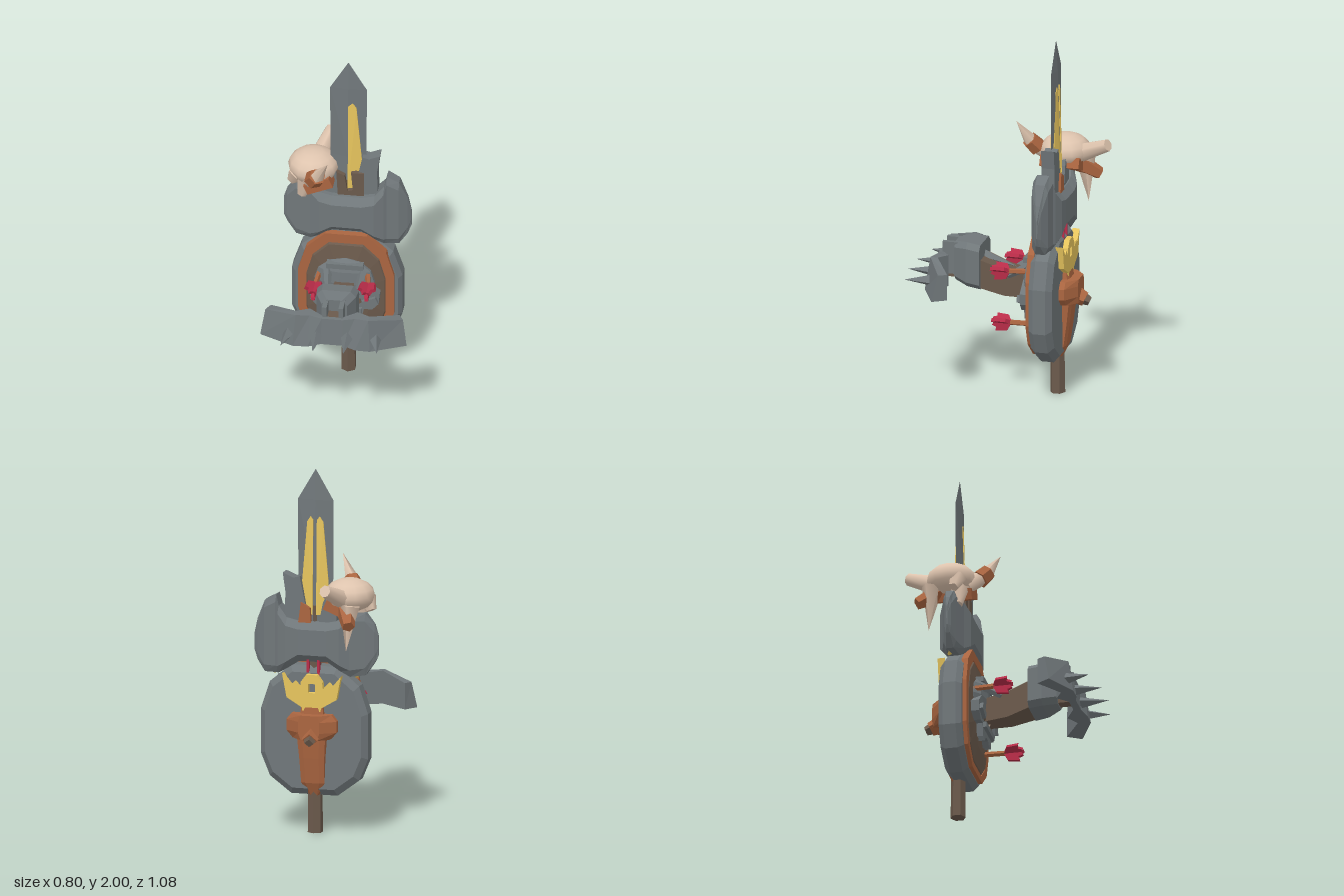
import * as THREE from 'three';

const mat = (name, color, flatShading = true) => {
  const m = new THREE.MeshStandardMaterial({ color, flatShading, side: THREE.DoubleSide });
  m.name = name;
  return m;
};

export function createModel() {
  const root = new THREE.Group();
  const steel = mat('steel', 0x70777a), wood = mat('wood', 0x6b5a4c), leather = mat('leather', 0xaa6540);
  const bone = mat('bone', 0xdec4ae, false), red = mat('red feather', 0xb82c48), gold = mat('gold', 0xf6d264);

  const add = (name, geo, m, pos = [0, 0, 0], parent = root) => {
    const mesh = new THREE.Mesh(geo, m);
    mesh.name = name;
    mesh.position.set(...pos);
    parent.add(mesh);
    return mesh;
  };
  const box = (name, m, size, pos) => add(name, new THREE.BoxGeometry(...size), m, pos);

  // Skin over matching closed sections, capped at both ends and turned outward
  const loft = (name, m, secs) => {
    const tris = [], n = secs[0].length;
    for (let i = 0; i < secs.length - 1; i++)
      for (let j = 0; j < n; j++) {
        const k = (j + 1) % n, A = secs[i], B = secs[i + 1];
        tris.push([A[j], A[k], B[k]], [A[j], B[k], B[j]]);
      }
    const last = secs[secs.length - 1];
    for (let j = 1; j < n - 1; j++) {
      tris.push([secs[0][0], secs[0][j + 1], secs[0][j]], [last[0], last[j], last[j + 1]]);
    }
    let vol = 0;
    const o = new THREE.Vector3(...secs[0][0]);
    for (const t of tris) {
      const [a, b, c] = t.map(p => new THREE.Vector3(...p).sub(o));
      vol += a.dot(b.cross(c));
    }
    const pts = tris.flatMap(t => (vol < 0 ? [t[0], t[2], t[1]] : t)).flat();
    const geo = new THREE.BufferGeometry();
    geo.setAttribute('position', new THREE.Float32BufferAttribute(pts, 3));
    geo.computeVertexNormals();
    return add(name, geo, m);
  };

  // Tapered round piece between two points
  const limb = (name, m, a, b, r0, r1, n = 6) => {
    const A = new THREE.Vector3(...a), B = new THREE.Vector3(...b), d = B.clone().sub(A);
    const mesh = add(name, new THREE.CylinderGeometry(r1, r0, d.length(), n), m);
    mesh.position.copy(A).add(B).multiplyScalar(0.5);
    mesh.quaternion.setFromUnitVectors(new THREE.Vector3(0, 1, 0), d.normalize());
    return mesh;
  };
  const plate = (name, m, pts, z0, z1, holes = []) => {
    const shape = new THREE.Shape(pts.map(p => new THREE.Vector2(...p)));
    holes.forEach(h => shape.holes.push(new THREE.Path(h.map(p => new THREE.Vector2(...p)))));
    return add(name, new THREE.ExtrudeGeometry(shape, { depth: z1 - z0, bevelEnabled: false }), m, [0, 0, z0]);
  };
  const mirrored = pts => [...pts, ...pts.map(([x, y]) => [-x, y]).reverse()];

  // Pole with a red binding below the axe head
  limb('pole', wood, [0, 0, -0.285], [0, 1.25, -0.275], 0.042, 0.03);
  for (const s of [-1, 1]) box('redBinding', red, [0.014, 0.14, 0.02], [s * 0.03, 0.9, -0.32]);

  // Spear blade with diamond sections
  const ZB = -0.275;
  const bladeRows = [[1.1, 0.08, 0.03], [1.4, 0.098, 0.024], [1.83, 0.1, 0.01], [2, 0, 0]];
  loft('spearBlade', steel, bladeRows.map(([y, hx, hz]) =>
    [[hx, y, ZB], [0, y, ZB + hz], [-hx, y, ZB], [0, y, ZB - hz]]));
  // Gold inlays lying on the blade faces
  const inlay = (sx, sz, inner) => {
    const p = (x, y) => {
      const hz = 0.024 - (y - 1.4) * 0.0325;
      return [sx * x, y, ZB + sz * (hz * (1 - x / 0.099) + 0.004)];
    };
    const ring = [p(inner, 1.2), p(0.068, 1.2), p(0.074, 1.38), p(0.045, 1.71), p(0.025, 1.74), p(inner, 1.72)];
    loft('bladeInlay', gold, [ring, ring.map(([x, y, z]) => [x, y, z - sz * 0.006])]);
  };
  inlay(1, 1, 0); inlay(1, -1, 0.01); inlay(-1, -1, 0.01);
  // Blade socket horns and wrapping
  plate('socketHorn', steel, [[0.02, 1.12], [0.06, 1.31], [0.08, 1.41], [0.115, 1.4], [0.175, 1.425], [0.16, 1.32], [0.165, 1.12]], -0.312, -0.24);
  plate('socketHorn', steel, [[-0.02, 1.12], [-0.05, 1.27], [-0.09, 1.36], [-0.12, 1.3], [-0.13, 1.12]], -0.312, -0.24);
  plate('socketWrap', wood, [[-0.05, 1.12], [-0.06, 1.31], [-0.015, 1.29], [0, 1.19], [0.03, 1.2], [0.02, 1.31], [0.09, 1.31], [0.09, 1.12]], -0.255, -0.228);
  plate('backWrap', leather, [[0.01, 1.12], [0.02, 1.24], [0.07, 1.27], [0.09, 1.12]], -0.325, -0.305);

  // Double axe head: x, bottom, top, half depth
  const ZA = -0.265;
  loft('axeHead', steel, [
    [-0.35, 0.99, 1.1, 0.004], [-0.33, 0.95, 1.16, 0.018], [-0.28, 0.88, 1.22, 0.035], [-0.2, 0.87, 1.22, 0.06],
    [-0.15, 0.9, 1.18, 0.085], [-0.08, 0.945, 1.165, 0.09], [0.08, 0.945, 1.165, 0.09], [0.15, 0.9, 1.18, 0.085],
    [0.2, 0.87, 1.24, 0.065], [0.215, 0.87, 1.3, 0.055], [0.28, 0.87, 1.265, 0.045], [0.325, 0.93, 1.16, 0.02], [0.345, 0.98, 1.08, 0.004],
  ].map(([x, b, t, h]) => [
    [x, b, ZA - h * 0.6], [x, b, ZA + h * 0.6], [x, b + 0.04, ZA + h], [x, t - 0.04, ZA + h],
    [x, t, ZA + h * 0.6], [x, t, ZA - h * 0.6], [x, t - 0.04, ZA - h], [x, b + 0.04, ZA - h]]));

  // Shield: one half outline, mirrored and scaled about its middle
  const half = [[0.13, 0.92], [0.25, 0.82], [0.3, 0.67], [0.3, 0.42], [0.25, 0.3], [0.13, 0.21]];
  const oval = (sx, sy, cy = 0.57) => mirrored(half).map(([x, y]) => [x * sx, cy + (y - 0.57) * sy]);
  loft('shieldBody', steel, [[-0.33, 0.9], [-0.3, 1], [-0.23, 1], [-0.2, 0.93]]
    .map(([z, s]) => oval(s, s).map(([x, y]) => [x, y, z])));
  plate('shieldRim', leather, oval(0.87, 0.98, 0.595), -0.215, -0.178, [oval(0.72, 0.85, 0.585)]);
  loft('shieldBoards', wood, [[-0.2, 0.76, 0.88], [-0.175, 0.7, 0.82], [-0.16, 0.45, 0.55]]
    .map(([z, a, b]) => oval(a, b, 0.583).map(([x, y]) => [x, y, z])));

  // Shield boss shaped like a grim face
  const boss = add('bossFace', new THREE.SphereGeometry(1, 9, 6), steel, [0, 0.66, -0.16]);
  boss.scale.set(0.17, 0.14, 0.05);
  const jaw = [[0.12, 0.66], [0.19, 0.6], [0.185, 0.54], [0.15, 0.5], [0.105, 0.5], [0.09, 0.43], [0.07, 0.455], [0.05, 0.42], [0.025, 0.45]];
  plate('faceJaw', steel, mirrored(jaw), -0.18, -0.125);
  box('upperLip', steel, [0.19, 0.03, 0.03], [0, 0.495, -0.12]);
  for (const s of [-1, 1]) {
    limb('bossArm', steel, [s * 0.095, 0.74, -0.16], [s * 0.08, 0.66, -0.03], 0.026, 0.014, 4);
    limb('eyeSocket', wood, [s * 0.07, 0.55, -0.13], [s * 0.07, 0.55, -0.12], 0.026, 0.022, 5);
    box('cheek', steel, [0.08, 0.04, 0.03], [s * 0.14, 0.555, -0.12]).rotation.z = s * 0.4;
  }
  box('bossBrow', steel, [0.2, 0.03, 0.05], [0, 0.765, -0.145]);
  limb('noseMark', bone, [0, 0.56, -0.115], [0, 0.515, -0.115], 0.02, 0.002, 3);

  // Weapon sticking out of the shield: handle, socket and spiked bar
  const rectZ = (z, hx, y0, y1) => [[-hx, y0, z], [hx, y0, z], [hx, y1, z], [-hx, y1, z]];
  loft('handle', wood, [rectZ(-0.18, 0.045, 0.53, 0.66), rectZ(0, 0.065, 0.54, 0.69), rectZ(0.14, 0.085, 0.58, 0.74)]);
  limb('handleRidge', steel, [-0.02, 0.735, 0.13], [0, 0.69, -0.06], 0.03, 0, 4);
  const octZ = (z, hx, y0, y1, c = 0.03) => [
    [-hx + c, y0, z], [hx - c, y0, z], [hx, y0 + c, z], [hx, y1 - c, z],
    [hx - c, y1, z], [-hx + c, y1, z], [-hx, y1 - c, z], [-hx, y0 + c, z]];
  loft('socket', steel, [octZ(0.125, 0.113, 0.57, 0.82), octZ(0.2, 0.108, 0.58, 0.83), octZ(0.275, 0.07, 0.6, 0.82)]);
  for (const s of [-1, 1]) box('socketProng', steel, [0.025, 0.18, 0.09], [s * 0.045, 0.725, 0.3]);
  box('handleEnd', wood, [0.06, 0.14, 0.07], [0, 0.68, 0.3]);
  // Bar stations: back x, front x, back z, front z, bottom, top; the front face leans back
  const barHalf = [[0.05, 0.06, 0.34, 0.38, 0.6, 0.755], [0.13, 0.13, 0.29, 0.4, 0.59, 0.765],
    [0.2, 0.21, 0.33, 0.4, 0.588, 0.77], [0.35, 0.398, 0.235, 0.31, 0.585, 0.73]];
  const bar = [...barHalf.map(([a, b, ...r]) => [-a, -b, ...r]).reverse(), ...barHalf];
  loft('spikedBar', steel, bar.map(([xb, xf, zb, zf, b, t]) => [
    [xb, b, zb], [xf, b, zf], [xf * 0.94, t, zf - (zf - zb) * 0.4], [xb, t, zb]]));
  for (const s of [-1, 1]) {
    limb('spike', steel, [s * 0.232, 0.65, 0.35], [s * 0.262, 0.65, 0.5], 0.036, 0, 4);
    limb('spike', steel, [s * 0.083, 0.65, 0.35], [s * 0.083, 0.65, 0.53], 0.038, 0, 4);
  }

  // Arrows with three-bladed fletching
  const vane = new THREE.Shape([[0, -0.06], [0.045, -0.035], [0.052, 0.03], [0.03, 0.025], [0.02, 0.05], [0, 0.035]]
    .map(p => new THREE.Vector2(...p)));
  for (const [x, y, dx] of [[0.115, 0.41, 0.01], [0.14, 0.71, 0.03], [-0.15, 0.69, -0.01]]) {
    limb('arrowShaft', leather, [x - dx, y, -0.22], [x, y, -0.045], 0.015, 0.015, 5);
    for (let i = 0; i < 3; i++) {
      const pivot = new THREE.Group();
      pivot.name = 'fletching';
      pivot.position.set(x, y, 0);
      pivot.rotation.z = 0.5 + i * Math.PI * 2 / 3;
      const v = add('vane', new THREE.ExtrudeGeometry(vane, { depth: 0.02, bevelEnabled: false }), red, [0, 0.01, 0], pivot);
      v.rotation.x = Math.PI / 2;
      root.add(pivot);
    }
  }

  // Horned skull hung beside the blade
  const cranium = add('cranium', new THREE.SphereGeometry(1, 12, 8), bone, [-0.19, 1.318, -0.275]);
  cranium.scale.set(0.138, 0.092, 0.138);
  limb('muzzle', bone, [-0.21, 1.28, -0.23], [-0.245, 1.15, -0.23], 0.065, 0.03, 6);
  limb('cheekbone', bone, [-0.27, 1.3, -0.22], [-0.3, 1.23, -0.24], 0.05, 0.03, 5);
  box('skullStrap', leather, [0.15, 0.06, 0.22], [-0.15, 1.25, -0.27]).rotation.z = 0.4;
  limb('hornRoot', bone, [-0.2, 1.27, -0.19], [-0.16, 1.34, -0.11], 0.04, 0.045);
  limb('hornBand', leather, [-0.172, 1.32, -0.125], [-0.143, 1.37, -0.085], 0.052, 0.046);
  limb('hornTip', bone, [-0.15, 1.355, -0.095], [-0.08, 1.49, -0.03], 0.042, 0, 5);
  limb('brokenHorn', bone, [-0.175, 1.31, -0.36], [-0.125, 1.385, -0.53], 0.052, 0.034, 7);
  limb('hornWrap', leather, [-0.17, 1.28, -0.3], [-0.235, 1.18, -0.455], 0.065, 0.035, 5);
  limb('fang', bone, [-0.225, 1.28, -0.375], [-0.205, 1.03, -0.4], 0.06, 0, 5);

  // Gold guard on the back: pierced block with two jagged wings
  plate('goldGuard', gold, mirrored([[0.05, 0.68], [0.07, 0.76], [0.06, 0.84], [0.03, 0.88]]), -0.36, -0.32,
    [mirrored([[0.02, 0.78], [0.02, 0.83]])]);
  for (const s of [-1, 1]) {
    plate('guardWing', gold, [[0.04, 0.69], [0.14, 0.75], [0.165, 0.88], [0.115, 0.82], [0.095, 0.84], [0.05, 0.79]].map(([x, y]) => [s * x, y]), -0.36, -0.32);
    limb('guardTip', gold, [s * 0.22, 0.88, -0.28], [s * 0.29, 0.9, -0.27], 0.02, 0.005, 4);
  }

  // Leather strap, grip and peg on the back
  loft('backStrap', leather, [[0.2, 0.025, -0.31], [0.28, 0.065, -0.345], [0.42, 0.07, -0.365], [0.55, 0.08, -0.38], [0.7, 0.06, -0.36]]
    .map(([y, hx, z]) => [[-hx, y, -0.28], [hx, y, -0.28], [hx, y, z + 0.01], [hx * 0.6, y, z], [-hx * 0.6, y, z], [-hx, y, z + 0.01]]));
  loft('backGrip', leather, [[0.53, 0.75], [0.57, 1], [0.63, 1], [0.665, 0.8]].map(([y, s]) =>
    [[-0.14, -0.31], [0.14, -0.31], [0.14, -0.36], [0.06, -0.415], [-0.06, -0.415], [-0.14, -0.36]].map(([x, z]) => [x * s, y, z])));
  limb('peg', leather, [-0.01, 0.56, -0.38], [-0.012, 0.535, -0.435], 0.052, 0.042, 4);
  limb('pegEnd', wood, [-0.012, 0.54, -0.425], [-0.015, 0.525, -0.46], 0.036, 0.025, 4);

  return root;
}
